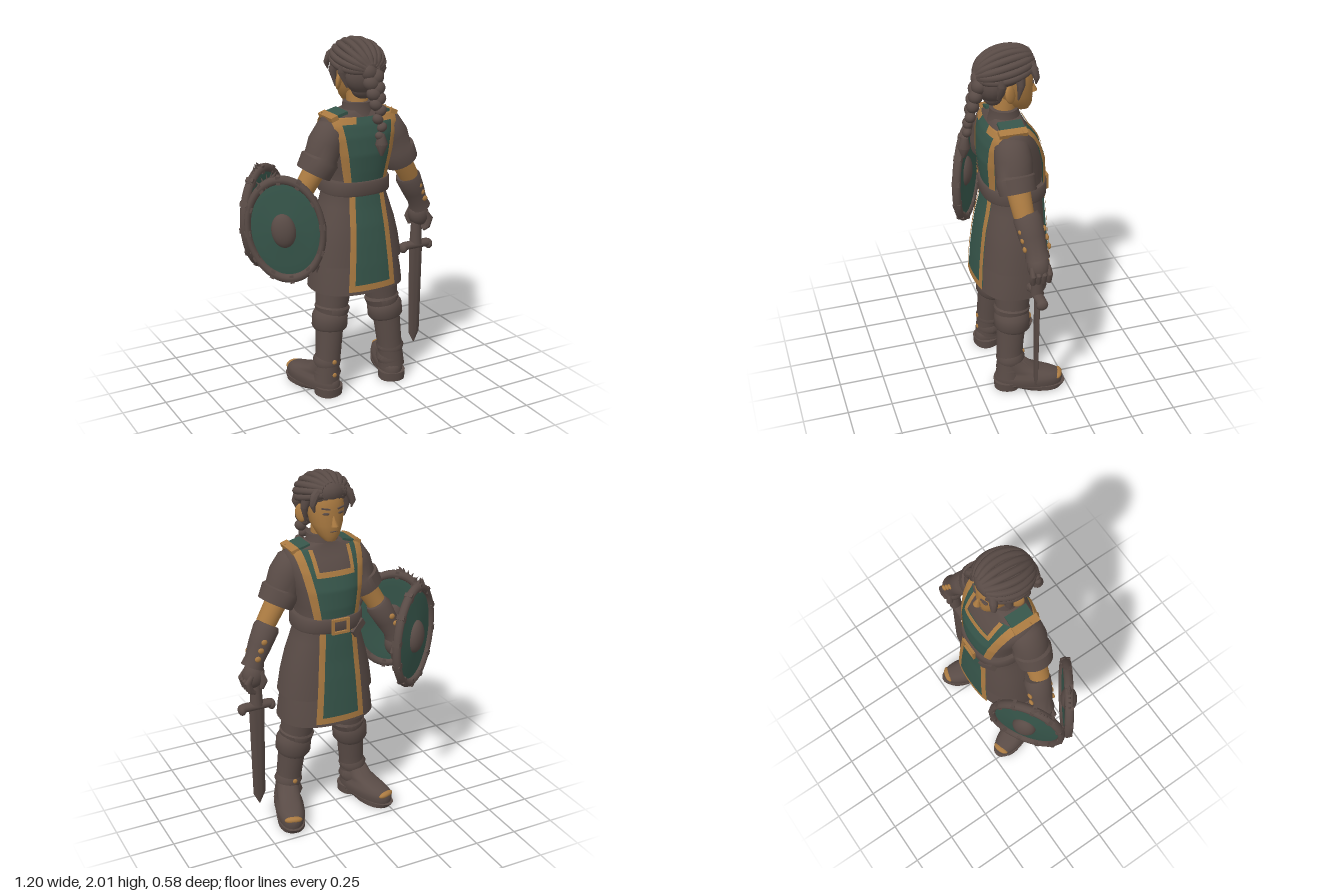
import * as THREE from 'three';
import { toCreasedNormals } from 'three/addons/utils/BufferGeometryUtils.js';

const mat = (name, color) => {
  const m = new THREE.MeshStandardMaterial({ color, side: THREE.DoubleSide });
  m.name = name;
  return m;
};
const BROWN = mat('umber', 0x594b46), GREEN = mat('forest green', 0x36554a), TAN = mat('ochre', 0xaa7a41);
const CX = 0.065; // body axis

// Body outline: y, half width, front z, back z
const BODY = [
  [0.62, 0.272, -0.192, 0.208], [0.78, 0.268, -0.186, 0.196], [0.9, 0.25, -0.18, 0.183],
  [1.0, 0.226, -0.172, 0.17], [1.1, 0.195, -0.168, 0.15], [1.2, 0.162, -0.162, 0.135], [1.3, 0.172, -0.168, 0.152],
  [1.4, 0.192, -0.162, 0.165], [1.5, 0.22, -0.125, 0.158], [1.56, 0.225, -0.09, 0.142], [1.6, 0.2, -0.06, 0.12], [1.63, 0.1, -0.05, 0.1],
];
const POW = 2.4;

// Superellipse rings along a path; each section is [x, y, z, side radius, depth radius]
function sweep(secs, { n = 2, seg = 24, flat = false } = {}) {
  const P = secs.map(s => new THREE.Vector3(s[0], s[1], s[2]));
  const pos = [], idx = [], Z = new THREE.Vector3(0, 0, 1);
  const rim = (v) => Math.sign(v) * Math.abs(v) ** (2 / n);
  P.forEach((c, i) => {
    const t = P[Math.min(i + 1, P.length - 1)].clone().sub(P[Math.max(i - 1, 0)]);
    if (flat) t.set(0, Math.sign(t.y), 0);
    t.normalize();
    const a = t.clone().cross(Z).normalize(), b = a.clone().cross(t);
    for (let j = 0; j < seg; j++) {
      const th = j / seg * Math.PI * 2;
      const p = c.clone().addScaledVector(a, rim(Math.cos(th)) * secs[i][3]).addScaledVector(b, rim(Math.sin(th)) * secs[i][4]);
      pos.push(p.x, p.y, p.z);
    }
  });
  const last = P.length - 1, k0 = P.length * seg;
  pos.push(...P[0].toArray(), ...P[last].toArray());
  for (let j = 0; j < seg; j++) {
    const k = (j + 1) % seg;
    for (let i = 0; i < last; i++) {
      const p = i * seg + j, q = i * seg + k;
      idx.push(p, p + seg, q, q, p + seg, q + seg);
    }
    idx.push(k0, j, k, k0 + 1, last * seg + k, last * seg + j);
  }
  const g = new THREE.BufferGeometry();
  g.setAttribute('position', new THREE.Float32BufferAttribute(pos, 3));
  g.setIndex(idx);
  return toCreasedNormals(g, 0.8);
}

function bodyAt(y) {
  let i = 0;
  while (i < BODY.length - 2 && y > BODY[i + 1][0]) i++;
  const A = BODY[i], B = BODY[i + 1], t = THREE.MathUtils.clamp((y - A[0]) / (B[0] - A[0]), 0, 1);
  return A.map((v, k) => v + (B[k] - v) * t);
}
const ring = (y, off = 0) => {
  const [, rx, f, b] = bodyAt(y);
  return [CX, y, (f + b) / 2, rx + off, (b - f) / 2 + off];
};

// Cloth lying on the body; side -1 is the face side, x runs a..b at the bottom and c..d at the top
function cloth(side, y0, y1, a, b, c, d, off) {
  const g = new THREE.PlaneGeometry(1, 1, 10, 32), p = g.attributes.position;
  for (let i = 0; i < p.count; i++) {
    const u = p.getX(i) + 0.5, v = p.getY(i) + 0.5, y = y0 + (y1 - y0) * v;
    const lo = a + (c - a) * v, x = lo + (b + (d - b) * v - lo) * u;
    const [, , cz, rx, rz] = ring(y, off), e = Math.min(0.97, Math.abs(x) / rx);
    p.setXYZ(i, CX + x, y, cz + side * rz * (1 - e ** POW) ** (1 / POW));
  }
  if (side < 0) g.index.array.reverse();
  g.computeVertexNormals();
  return g;
}

export function createModel() {
  const root = new THREE.Group();
  root.name = 'shieldFighter';
  const add = (name, geo, m, pos = [0, 0, 0], rot = [0, 0, 0], scl = [1, 1, 1], parent = root) => {
    const mesh = new THREE.Mesh(geo, m);
    mesh.name = name;
    mesh.position.set(...pos); mesh.rotation.set(...rot); mesh.scale.set(...scl);
    parent.add(mesh);
  };
  const group = (name, pos) => {
    const g = new THREE.Group();
    g.name = name;
    g.position.set(...pos);
    root.add(g);
    return g;
  };
  const ball = new THREE.SphereGeometry(1, 20, 14), box = new THREE.BoxGeometry(1, 1, 1);

  // Mail coat over an underskirt, collar and belt
  add('coat', sweep(BODY.slice(1).map(s => ring(s[0])), { n: POW, seg: 48, flat: true }), BROWN);
  add('underskirt', sweep([[0.62, 0], [0.7, -0.006], [0.8, -0.018]].map(s => ring(...s)), { n: POW, seg: 48, flat: true }), BROWN);
  add('collar', sweep([[CX, 1.59, 0.035, 0.1, 0.09], [CX, 1.63, 0.03, 0.085, 0.08], [CX, 1.67, 0.035, 0.083, 0.075]], { flat: true }), BROWN);
  add('belt', sweep([1.17, 1.18, 1.24, 1.25].map((y, i) => ring(y, i % 3 ? 0.026 : 0.02)), { n: POW, seg: 48, flat: true }), BROWN);
  for (const s of [-1, 1]) {
    add('buckleSide', box, TAN, [CX + s * 0.045, 1.21, -0.195], [0, 0, 0], [0.014, 0.085, 0.014]);
    add('buckleBar', box, TAN, [CX, 1.21 + s * 0.036, -0.195], [0, 0, 0], [0.09, 0.014, 0.014]);
  }
  add('beltEnd', box, BROWN, [CX - 0.12, 1.165, -0.155], [0, 0.4, -0.6], [0.1, 0.045, 0.03]);

  // Tabard with trim, face side and back
  for (const s of [-1, 1]) {
    add('tabardSkirt', cloth(s, 0.65, 1.19, -0.14, 0.14, -0.1, 0.1, 0.01), GREEN);
    add('hemTrim', cloth(s, 0.645, 0.68, -0.145, 0.145, -0.143, 0.143, 0.016), TAN);
    const top = s < 0 ? 1.5 : 1.6, w = s < 0 ? 0.175 : 0.19;
    add('tabardChest', cloth(s, 1.22, top, -0.12, 0.12, -w, w, 0.01), GREEN);
    for (const m of [-1, 1]) {
      add('skirtTrim', cloth(s, 0.645, 1.19, m * 0.11, m * 0.145, m * 0.073, m * 0.105, 0.016), TAN);
      add('chestTrim', cloth(s, 1.22, 1.615, m * 0.091, m * 0.125, m * 0.155, m * 0.2, 0.016), TAN);
      if (s < 0) {
        add('frontStrap', cloth(s, 1.495, 1.61, m * 0.1, m * 0.17, m * 0.11, m * 0.18, 0.01), GREEN);
        add('neckTrim', cloth(s, 1.49, 1.61, m * 0.09, m * 0.112, m * 0.098, m * 0.12, 0.016), TAN);
        add('shoulderStrap', box, GREEN, [CX + m * 0.132, 1.616, 0.035], [0, 0, -m * 0.25], [0.075, 0.016, 0.13]);
        add('shoulderTrim', box, TAN, [CX + m * 0.18, 1.603, 0.04], [0, 0, -m * 0.35], [0.042, 0.024, 0.15]);
      } else add('backNeckTrim', cloth(s, 1.57, 1.605, m * 0.07, m * 0.19, m * 0.06, m * 0.19, 0.016), TAN);
    }
  }
  add('frontNeckTrim', cloth(-1, 1.475, 1.503, -0.11, 0.11, -0.11, 0.11, 0.016), TAN);

  // Arms and legs
  for (const s of [-1, 1]) {
    const X = (r) => CX + s * r;
    const limb = (name, secs, m, o) => add(name, sweep(secs.map(([r, ...q]) => [X(r), ...q]), o), m);
    limb('sleeve', [[0.13, 1.57, 0.045, 0.04, 0.05], [0.165, 1.53, 0.045, 0.083, 0.09], [0.2, 1.46, 0.045, 0.096, 0.1], [0.228, 1.39, 0.045, 0.09, 0.095], [0.235, 1.375, 0.045, 0.106, 0.104], [0.272, 1.305, 0.04, 0.098, 0.098]], BROWN);
    limb('elbow', [[0.25, 1.34, 0.04, 0.06, 0.065], [0.33, 1.21, 0.03, 0.055, 0.055], [0.36, 1.15, 0.015, 0.05, 0.052]], TAN);
    limb('bracer', [[0.328, 1.205, 0.015, 0.06, 0.065], [0.34, 1.185, 0.012, 0.07, 0.075], [0.385, 1.1, 0, 0.062, 0.07], [0.42, 1.03, -0.01, 0.052, 0.06], [0.438, 0.99, -0.015, 0.062, 0.066]], BROWN);
    for (let i = 0; i < 3; i++) for (const k of [-1, 1])
      add('bracerStud', ball, TAN, [X(0.385 + i * 0.022), 1.14 - i * 0.042, -i * 0.006 + k * 0.066], [0, 0, 0], [0.017, 0.016, 0.01]);
    add('palm', ball, BROWN, [X(0.435), 0.945, -0.02], [0, 0, s * 0.2], [0.06, 0.075, 0.06]);
    for (let i = 0; i < 4; i++) limb('finger', [[0.46, 0.96, 0.025 - i * 0.03, 0.012, 0.012], [0.485, 0.92, 0.025 - i * 0.03, 0.02, 0.017], [0.47, 0.87, 0.022 - i * 0.029, 0.018, 0.016], [0.445, 0.855, 0.02 - i * 0.028, 0.01, 0.01]], BROWN, { seg: 10 });
    limb('thumb', [[0.41, 0.97, -0.06, 0.015, 0.015], [0.395, 0.92, -0.07, 0.02, 0.02], [0.405, 0.875, -0.06, 0.012, 0.012]], BROWN, { seg: 10 });

    limb('trouser', [[0.12, 0.8, 0.02, 0.11, 0.12], [0.148, 0.62, 0.03, 0.1, 0.105], [0.16, 0.53, 0.035, 0.09, 0.095], [0.17, 0.44, 0.04, 0.085, 0.09]], BROWN);
    limb('trouserFold', [[0.156, 0.535, 0.035, 0.08, 0.085], [0.16, 0.51, 0.037, 0.099, 0.102], [0.164, 0.475, 0.04, 0.09, 0.095]], BROWN);
    limb('bootCuff', [[0.172, 0.485, 0.042, 0.088, 0.092], [0.176, 0.465, 0.042, 0.1, 0.1], [0.182, 0.4, 0.045, 0.1, 0.1], [0.184, 0.38, 0.048, 0.086, 0.088]], BROWN);
    limb('bootShaft', [[0.185, 0.4, 0.05, 0.077, 0.082], [0.197, 0.27, 0.06, 0.072, 0.076], [0.207, 0.17, 0.065, 0.07, 0.072], [0.215, 0.08, 0.065, 0.075, 0.08]], BROWN);
    for (const y of [0.2, 0.13]) limb('bootFold', [[0.205, y + 0.03, 0.062, 0.066, 0.068], [0.207, y, 0.06, 0.08, 0.082], [0.21, y - 0.035, 0.06, 0.068, 0.072]], BROWN);
    for (let i = 0; i < 2; i++) add('bootStud', ball, TAN, [X(0.2), 0.13 + i * 0.08, s < 0 ? 0.138 : -0.018], [0, 0, 0], [0.014, 0.014, 0.008]);

    const foot = group('foot', [X(0.215), 0, 0.06]);
    foot.rotation.y = -s * 0.3;
    const shoe = (name, secs) => add(name, sweep(secs, { n: 2.3, flat: true }), BROWN, [0, 0, 0], [0, 0, 0], [1, 1, 1], foot);
    shoe('heel', [[0, 0, 0.02, 0.075, 0.075], [0, 0.05, 0.02, 0.078, 0.078]]);
    shoe('sole', [[0, 0.008, -0.165, 0.076, 0.125], [0, 0.035, -0.11, 0.08, 0.2]]);
    shoe('shoe', [[0, 0.03, -0.1, 0.075, 0.19], [0, 0.065, -0.102, 0.082, 0.196], [0, 0.09, -0.102, 0.078, 0.188], [0, 0.107, -0.095, 0.068, 0.165], [0, 0.122, -0.07, 0.065, 0.13], [0, 0.14, -0.03, 0.066, 0.095], [0, 0.19, 0, 0.062, 0.07]]);
    add('toeScuff', ball, TAN, [0, 0.082, -0.268], [0.5, 0, 0], [0.05, 0.02, 0.026], foot);
  }

  // Head and face
  const face = [[1.652, 0.03, -0.1, -0.03], [1.685, 0.058, -0.115, 0.02], [1.74, 0.083, -0.117, 0.07], [1.82, 0.095, -0.118, 0.1], [1.89, 0.092, -0.113, 0.11], [1.95, 0.06, -0.07, 0.09]];
  add('neck', sweep([[CX, 1.6, 0.04, 0.06, 0.06], [CX, 1.74, 0.02, 0.058, 0.058]], { flat: true }), TAN);
  add('face', sweep(face.map(([y, r, f, b]) => [CX, y, (f + b) / 2, r, (b - f) / 2]), { flat: true, n: 2.2 }), TAN);
  add('nose', new THREE.ConeGeometry(0.02, 0.075, 8), TAN, [CX, 1.775, -0.119], [0.25, 0, 0]);
  add('mouth', ball, BROWN, [CX, 1.71, -0.114], [0, 0, 0], [0.022, 0.003, 0.005]);
  for (const s of [-1, 1]) {
    add('eye', ball, BROWN, [CX + s * 0.042, 1.808, -0.11], [0, s * -0.3, 0], [0.018, 0.007, 0.006]);
    add('brow', box, BROWN, [CX + s * 0.043, 1.835, -0.112], [0, s * -0.3, s * 0.15], [0.045, 0.007, 0.008]);
    add('ear', ball, TAN, [CX + s * 0.116, 1.785, 0.035], [0.2, s * 0.6, 0], [0.016, 0.048, 0.034]);
  }

  // Hair swept back from the brow over a rounded cap
  const hair = group('hair', [CX, 1.888, 0.03]);
  hair.rotation.x = 0.22;
  const HX = 0.128, HY = 0.094, HZ = 0.152;
  add('hairCap', ball, BROWN, [0, 0, 0], [0, 0, 0], [HX, HY, HZ], hair);
  for (let i = 0; i < 11; i++) {
    const psi = (i / 10 - 0.5) * 3.5, pts = [];
    for (let k = 0; k < 7; k++) {
      const th = 0.45 + k * 0.4, r = Math.sin(th);
      pts.push(new THREE.Vector3(HX * r * Math.sin(psi), HY * r * Math.cos(psi), -HZ * Math.cos(th)));
    }
    add('hairLock', new THREE.TubeGeometry(new THREE.CatmullRomCurve3(pts), 20, 0.02, 8), BROWN, [0, 0, 0], [0, 0, 0], [1, 1, 1], hair);
  }
  add('hairBack', ball, BROWN, [CX, 1.82, 0.1], [0, 0, 0], [0.112, 0.105, 0.085]);
  add('nape', ball, BROWN, [CX, 1.75, 0.095], [0, 0, 0], [0.07, 0.06, 0.055]);
  for (const s of [-1, 1]) {
    const lock = (z, secs) => add('sideLock', sweep(secs.map(([x, y, dz, r]) => [CX + s * x, y, z + dz, r, r]), { seg: 8 }), BROWN);
    lock(-0.075, [[0.06, 1.935, 0, 0.025], [0.1, 1.9, -0.02, 0.024], [0.115, 1.86, -0.03, 0.016], [0.105, 1.825, -0.03, 0.004]]);
    lock(-0.02, [[0.1, 1.9, 0, 0.03], [0.122, 1.83, 0, 0.022], [0.112, 1.75, 0.01, 0.004]]);
    lock(0.08, [[0.1, 1.89, 0, 0.03], [0.12, 1.84, 0, 0.026], [0.09, 1.76, 0.01, 0.01]]);
  }

  // Braid hanging behind
  const braid = new THREE.CatmullRomCurve3([[0.075, 1.84, 0.16], [0.08, 1.75, 0.195], [0.085, 1.66, 0.22], [0.085, 1.52, 0.25]].map(p => new THREE.Vector3(...p)));
  for (let i = 0; i < 11; i++) {
    const t = i / 10, p = braid.getPoint(t), s = i % 2 ? 1 : -1, r = 0.052 - 0.026 * t;
    add('braidStrand', ball, BROWN, [p.x + s * r * 0.35, p.y, p.z], [0, 0, s * 0.6], [r, r * 0.85, r * 0.85]);
  }
  add('braidTail', sweep([[0.085, 1.53, 0.25, 0.018, 0.018], [0.085, 1.475, 0.256, 0.034, 0.034], [0.085, 1.415, 0.258, 0.008, 0.008]], { seg: 12 }), BROWN);

  // Sword held point down
  const sword = group('sword', [0.487, 0, -0.02]);
  const blade = [[0, 0.135, 0, 0.004, 0.004], [0, 0.2, 0, 0.036, 0.012], [0, 0.74, 0, 0.045, 0.017]];
  add('blade', sweep(blade, { n: 1.2, seg: 16, flat: true }), BROWN, [0, 0, 0], [0, 0, 0], [1, 1, 1], sword);
  add('guard', new THREE.CapsuleGeometry(0.024, 0.15, 6, 12), BROWN, [0, 0.755, 0], [0, 0, Math.PI / 2], [1, 1, 1.2], sword);
  for (const s of [-1, 1]) add('guardTip', ball, BROWN, [s * 0.086, 0.745, 0], [0, 0, 0], [0.022, 0.03, 0.032], sword);
  add('grip', new THREE.CylinderGeometry(0.024, 0.036, 0.22, 12), BROWN, [0, 0.87, 0], [0, 0, 0], [1, 1, 1], sword);

  // Two shield halves joined in a wedge at the outer edge
  const dome = new THREE.LatheGeometry([[0, 0.025], [0.1, 0.016], [0.2, 0.006], [0.28, 0], [0.28, -0.01], [0.2, -0.006], [0, 0.008]].map(p => new THREE.Vector2(...p)), 40);
  for (const s of [-1, 1]) {
    const shield = group('shield', [-0.412, 1.04, s > 0 ? 0.11 : -0.15]);
    shield.rotation.set(0, s > 0 ? -0.57 : Math.PI + 0.57, s * 0.12);
    shield.scale.x = 0.72;
    const put = (...q) => add(...q, shield);
    put('shieldFace', dome, GREEN, [0, 0, 0], [Math.PI / 2, 0, 0], [1, 1, 1]);
    put('rim', new THREE.TorusGeometry(0.276, 0.025, 10, 48), BROWN, [0, 0, 0], [0, 0, 0], [1, 1, 1]);
    put('boss', ball, BROWN, [-0.01, 0, 0.015], [0, 0, 0], [0.092, 0.095, 0.045]);
    for (let i = 0; i < 12; i++) {
      const a = i * Math.PI / 6;
      put('rimClamp', box, BROWN, [Math.cos(a) * 0.276, Math.sin(a) * 0.276, 0], [0, 0, a], [0.046, 0.03, 0.046]);
    }
    for (let i = 0; i < 5; i++) put('splinter', new THREE.ConeGeometry(0.02, 0.07, 5), BROWN, [-s * (0.02 + i * 0.03), 0.305 - i * 0.012, 0], [0, 0, (i - 2) * 0.4], [1, 1, 1]);
  }
  add('looseChip', new THREE.OctahedronGeometry(0.02), BROWN, [-0.232, 0.8, 0.12], [0, 0, 0], [0.9, 1.9, 0.5]);
  return root;
}
